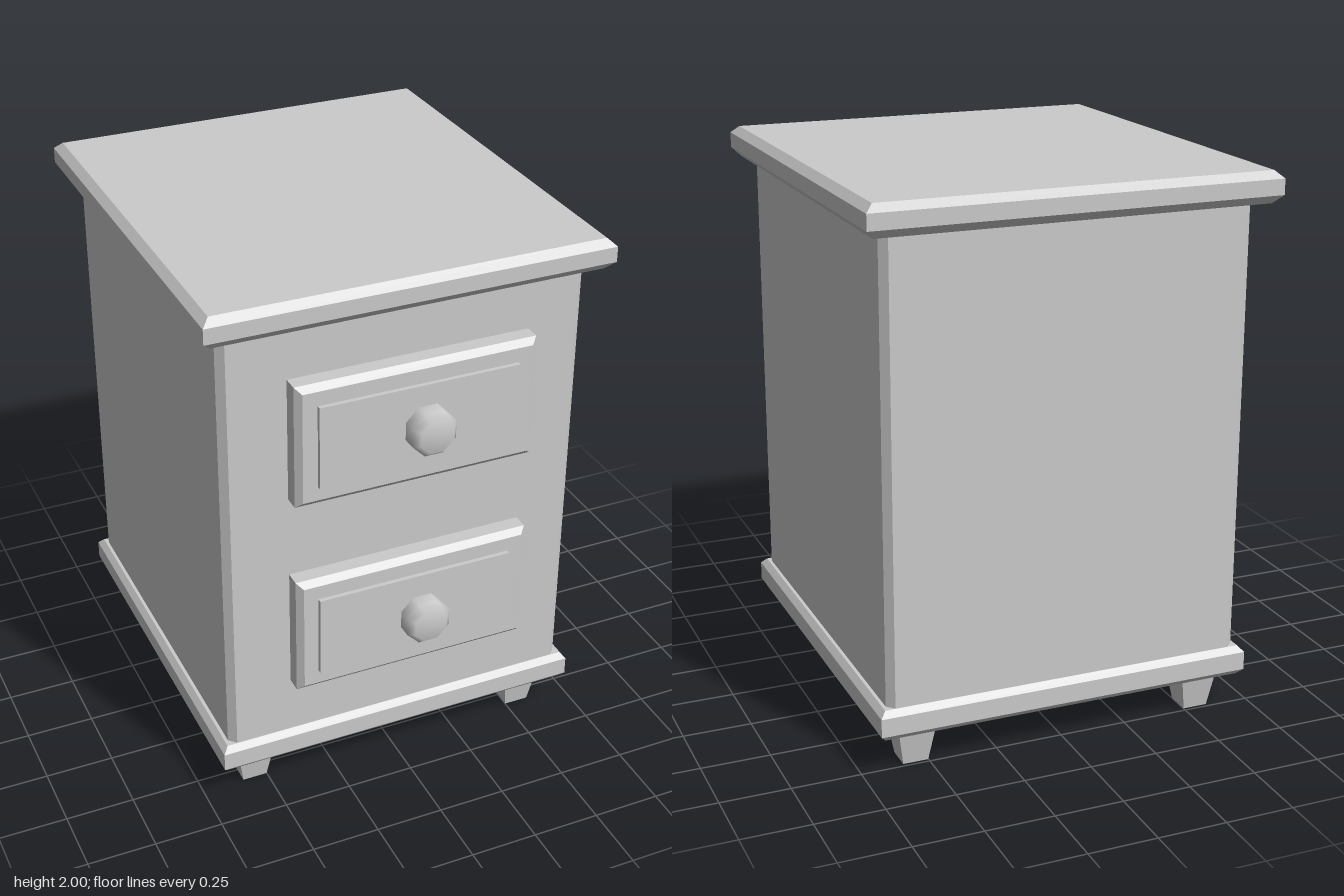
import * as THREE from 'three';

const material = new THREE.MeshStandardMaterial({ color: 0xcccccc });
const flatMaterial = new THREE.MeshStandardMaterial({ color: 0xcccccc, flatShading: true });

function add(parent, name, geometry, x, y, z, mat = flatMaterial) {
  const mesh = new THREE.Mesh(geometry, mat);
  mesh.name = name;
  mesh.position.set(x, y, z);
  parent.add(mesh);
  return mesh;
}

// Closed solid through rectangular sections, each [height, half width, half depth]
function rectStack(sections) {
  const pos = [];
  const rings = sections.map(([y, w, d]) => [[-w, y, d], [w, y, d], [w, y, -d], [-w, y, -d]]);
  const quad = (a, b, c, d) => pos.push(...a, ...b, ...c, ...a, ...c, ...d);
  for (let i = 0; i < rings.length - 1; i++) {
    const lo = rings[i], hi = rings[i + 1];
    for (let k = 0; k < 4; k++) {
      const n = (k + 1) % 4;
      quad(lo[k], lo[n], hi[n], hi[k]);
    }
  }
  const bottom = rings[0], top = rings[rings.length - 1];
  quad(bottom[3], bottom[2], bottom[1], bottom[0]);
  quad(top[0], top[1], top[2], top[3]);
  const geometry = new THREE.BufferGeometry();
  geometry.setAttribute('position', new THREE.Float32BufferAttribute(pos, 3));
  geometry.computeVertexNormals();
  return geometry;
}

// Upright box with chamfered vertical corners
function chamferedColumn(w, d, c, height) {
  const shape = new THREE.Shape([
    [-w + c, -d], [w - c, -d], [w, -d + c], [w, d - c],
    [w - c, d], [-w + c, d], [-w, d - c], [-w, -d + c],
  ].map(([x, y]) => new THREE.Vector2(x, y)));
  return new THREE.ExtrudeGeometry(shape, { depth: height, bevelEnabled: false }).rotateX(-Math.PI / 2);
}

// Drawer front with stepped panel and octagonal knob, built outward along +z
function createDrawer() {
  const drawer = new THREE.Group();
  drawer.name = 'drawer';
  add(drawer, 'drawerBacking', new THREE.BoxGeometry(0.80, 0.37, 0.04), 0, 0, 0.01);
  const front = rectStack([[0.025, 0.44, 0.228], [0.081, 0.44, 0.228], [0.102, 0.418, 0.206]]);
  add(drawer, 'drawerFront', front.rotateX(Math.PI / 2), 0, 0, 0);
  add(drawer, 'drawerPanel', new THREE.BoxGeometry(0.73, 0.306, 0.03), 0, 0, 0.103);

  const turned = (points) => new THREE.LatheGeometry(
    points.map(([r, h]) => new THREE.Vector2(r, h)), 8, Math.PI / 8).rotateX(Math.PI / 2);
  const knob = new THREE.Group();
  knob.name = 'knob';
  knob.position.set(0, 0.026, 0);
  drawer.add(knob);
  add(knob, 'knobStem', turned([[0.037, 0.11], [0.037, 0.17]]), 0, 0, 0, material);
  add(knob, 'knobBack', turned([[0, 0.166], [0.086, 0.166]]), 0, 0, 0, material);
  add(knob, 'knobHead', turned([[0.086, 0.166], [0.086, 0.216], [0.064, 0.24], [0, 0.24]]), 0, 0, 0, material);
  return drawer;
}

export function createModel() {
  const model = new THREE.Group();
  model.name = 'bedsideCabinet';
  const midZ = -0.08;

  add(model, 'cabinetBody', chamferedColumn(0.665, 0.715, 0.026, 1.66), 0, 0.24, midZ);

  add(model, 'tableTop', rectStack([
    [1.887, 0.705, 0.762], [1.918, 0.735, 0.792], [1.974, 0.735, 0.792], [2, 0.707, 0.764],
  ]), 0, 0, midZ);

  add(model, 'basePlinth', rectStack([
    [0.138, 0.677, 0.717], [0.16, 0.697, 0.737], [0.228, 0.697, 0.737], [0.25, 0.677, 0.717],
  ]), 0, 0, midZ);

  // Tapered feet
  for (const x of [-0.547, 0.547]) {
    for (const z of [0.515, -0.69]) {
      add(model, 'foot', rectStack([[0, 0.046, 0.046], [0.14, 0.069, 0.069]]), x, 0, z);
    }
  }

  for (const y of [1.478, 0.717]) {
    const drawer = createDrawer();
    drawer.position.set(0, y, 0.635);
    model.add(drawer);
  }
  return model;
}
